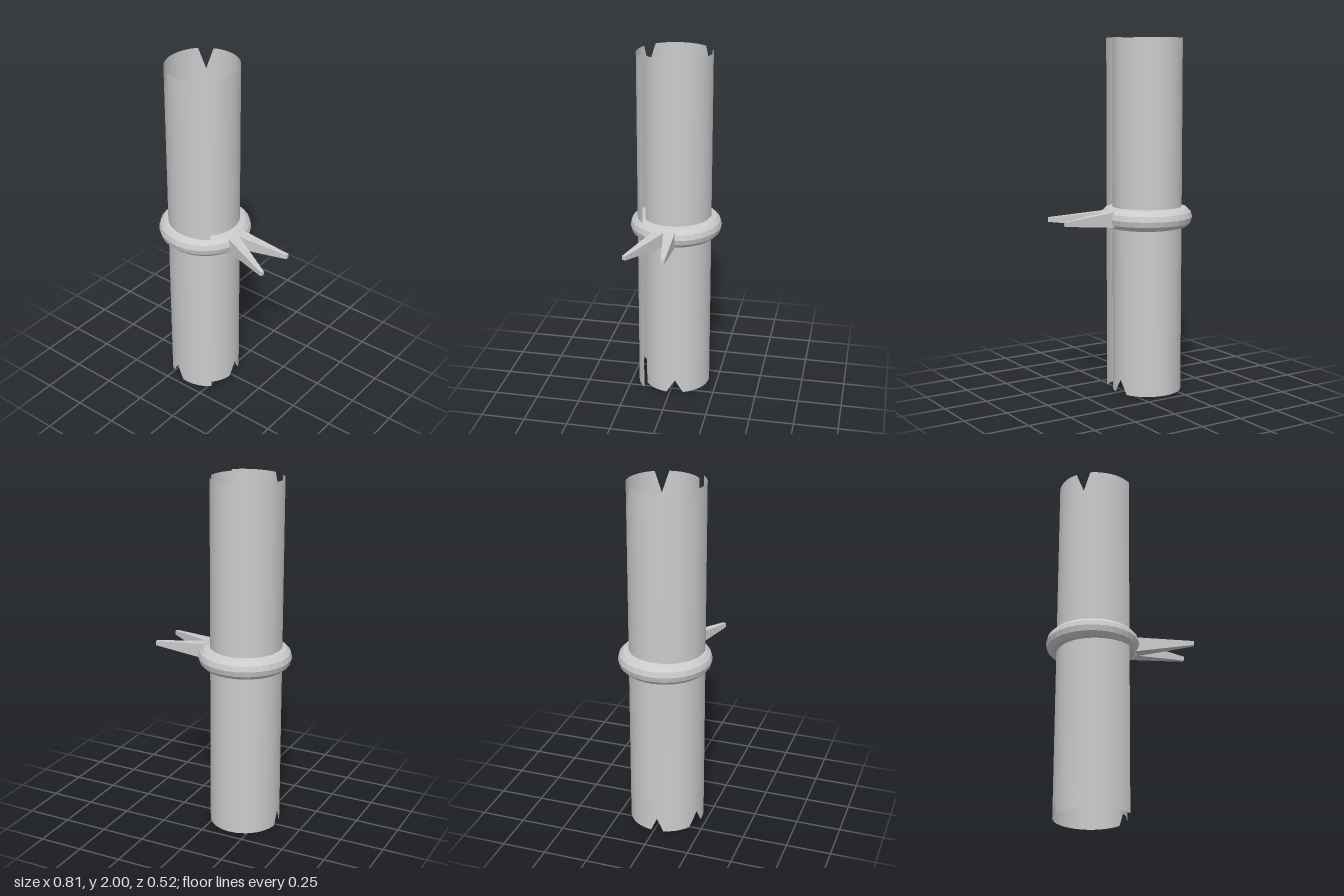
import * as THREE from 'three';

const AXIS_X = -0.147;
const HEIGHT = 2;
const rad = THREE.MathUtils.degToRad;

// Piecewise linear lookup through [position, value] pairs
function lookup(knots, s) {
  let i = 1;
  while (i < knots.length - 1 && s > knots[i][0]) i++;
  const [s0, v0] = knots[i - 1], [s1, v1] = knots[i];
  return v0 + (v1 - v0) * (s - s0) / (s1 - s0);
}

// Depth of the V-shaped notches [start, tip, end, depth] at sheet angle s
function notchDepth(notches, s) {
  let d = 0;
  for (const [a, tip, b, depth] of notches) {
    d = Math.max(d, depth * Math.min((s - a) / (tip - a), (b - s) / (b - tip)));
  }
  return d;
}

// Sheet rolled a little past one full turn, its edges overlapping at the seam
function rolledSheet() {
  const start = 55, sweep = 371;
  const radius = [[0, 0.188], [55, 0.192], [145, 0.2], [235, 0.201], [325, 0.215], [371, 0.229]];
  const topNotches = [[67, 79, 90, 0.12], [168, 180, 192, 0.12], [280, 293, 303, 0.12]];
  const bottomNotches = [[49, 64, 78, 0.08], [230, 240, 250, 0.08], [294, 310, 323, 0.08]];
  const position = [], index = [];
  for (let s = 0; s <= sweep; s++) {
    const a = rad(start - s), r = lookup(radius, s);
    const x = r * Math.cos(a), z = r * Math.sin(a);
    position.push(x, notchDepth(bottomNotches, s), z);
    position.push(x, HEIGHT - notchDepth(topNotches, s), z);
    if (s < sweep) {
      const i = s * 2;
      index.push(i, i + 2, i + 1, i + 1, i + 2, i + 3);
    }
  }
  const geometry = new THREE.BufferGeometry();
  geometry.setAttribute('position', new THREE.Float32BufferAttribute(position, 3));
  geometry.setIndex(index);
  geometry.computeVertexNormals();
  return geometry;
}

// Four-sided taper between two points in the horizontal plane
function spike(from, to, base, tip) {
  const dx = to[0] - from[0], dz = to[1] - from[1];
  const length = Math.hypot(dx, dz);
  const geometry = new THREE.BoxGeometry(1, 1, length);
  geometry.translate(0, 0, length / 2);
  const p = geometry.attributes.position;
  for (let i = 0; i < p.count; i++) {
    const [w, h] = p.getZ(i) > length / 2 ? tip : base;
    p.setXY(i, p.getX(i) * w, p.getY(i) * h);
  }
  geometry.rotateY(Math.atan2(dx, dz));
  geometry.translate(from[0], HEIGHT / 2, from[1]);
  return geometry;
}

export function createModel() {
  const group = new THREE.Group();
  const add = (name, geometry, options = {}) => {
    const material = new THREE.MeshStandardMaterial({ color: 0xcccccc, ...options });
    const mesh = new THREE.Mesh(geometry, material);
    mesh.name = name;
    group.add(mesh);
    return mesh;
  };

  // Hollow rolled tube with torn ends
  add('rolledTube', rolledSheet(), { side: THREE.DoubleSide }).position.x = AXIS_X;

  // Ring tied round the middle
  const ring = new THREE.TorusGeometry(0.2, 0.06, 12, 32).rotateX(Math.PI / 2);
  add('ring', ring, { flatShading: true }).position.set(AXIS_X, HEIGHT / 2, 0);

  // Two loose ends sticking out of the ring
  const base = [0.066, 0.086], tip = [0.02, 0.024];
  add('tieEndBack', spike([0.094, -0.007], [0.4, -0.033], base, tip), { flatShading: true });
  add('tieEndFront', spike([0.092, 0.049], [0.386, 0.181], base, tip), { flatShading: true });

  return group;
}
